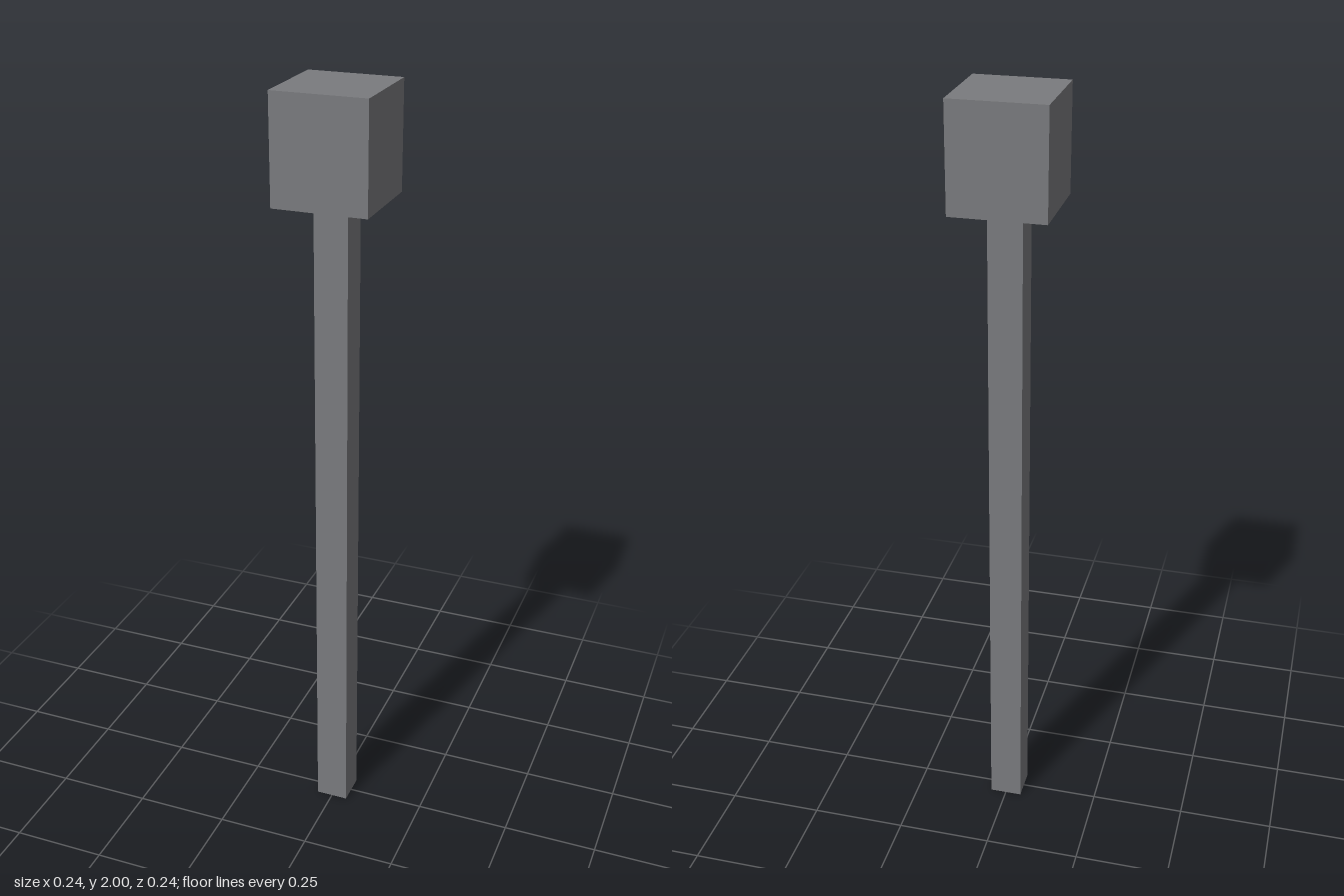
import * as THREE from 'three';

const POST_WIDTH = 0.086;
const HEAD_WIDTH = 0.238;
const HEAD_BASE = 1.732;
const TOP = 2;

export function createModel() {
  const group = new THREE.Group();
  const material = new THREE.MeshStandardMaterial({ color: 0x7a7b7e, flatShading: true });

  // Square block standing between two heights
  const addBlock = (name, width, bottom, top) => {
    const mesh = new THREE.Mesh(new THREE.BoxGeometry(width, top - bottom, width), material);
    mesh.name = name;
    mesh.position.y = (bottom + top) / 2;
    group.add(mesh);
  };

  // Slender post
  addBlock('post', POST_WIDTH, 0, HEAD_BASE);
  // Block on top of the post
  addBlock('head', HEAD_WIDTH, HEAD_BASE, TOP);

  return group;
}
